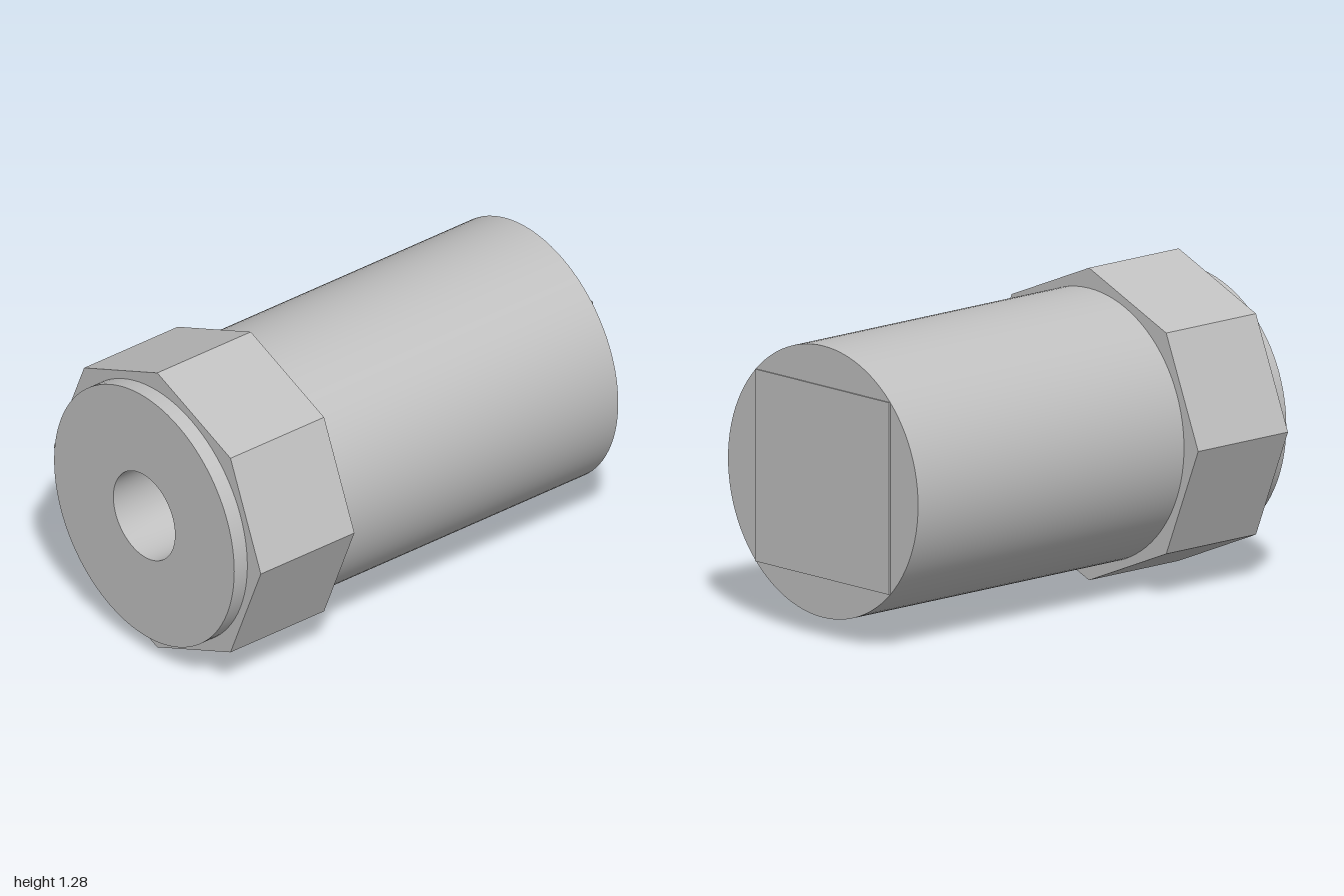
import * as THREE from 'three';
import { toCreasedNormals } from 'three/addons/utils/BufferGeometryUtils.js';

export function createModel() {
  const group = new THREE.Group();
  const metal = new THREE.MeshStandardMaterial({ color: 0xc0c0c0 });
  metal.name = 'greyMetal';

  const centreY = 0.638;
  const bodyR = 0.555;
  const boreR = 0.19;
  const backZ = -0.994;

  const add = (name, geometry, z = 0) => {
    const mesh = new THREE.Mesh(geometry, metal);
    mesh.name = name;
    mesh.position.set(0, centreY, z);
    group.add(mesh);
  };

  // Round body with a blind bore in the front, ending in a shallow dome
  const profile = [[0, backZ], [bodyR, backZ], [bodyR, 1], [boreR, 1]];
  const boreEnd = -0.4, domeDepth = 0.07, steps = 16;
  for (let i = 0; i <= steps; i++) {
    const a = (i / steps) * Math.PI / 2;
    profile.push([i === steps ? 0 : boreR * Math.cos(a), boreEnd - domeDepth * Math.sin(a)]);
  }
  const body = new THREE.LatheGeometry(profile.map(([r, z]) => new THREE.Vector2(r, z)), 96);
  body.rotateX(Math.PI / 2);
  add('body', toCreasedNormals(body, Math.PI / 6));

  // Octagonal collar with a corner at the top
  const octagon = new THREE.Shape();
  for (let i = 0; i < 8; i++) {
    const a = i * Math.PI / 4;
    const x = centreY * Math.cos(a), y = centreY * Math.sin(a);
    if (i === 0) octagon.moveTo(x, y);
    else octagon.lineTo(x, y);
  }
  octagon.closePath();
  octagon.holes.push(new THREE.Path().absarc(0, 0, bodyR - 0.02, 0, Math.PI * 2, true));
  const collarBack = 0.446, collarFront = 0.932;
  add('octagonalCollar', new THREE.ExtrudeGeometry(octagon, {
    depth: collarFront - collarBack, bevelEnabled: false, curveSegments: 48,
  }), collarBack);

  // Slightly raised square pad inscribed in the back end
  const side = bodyR * Math.SQRT2;
  const padDepth = 0.012;
  add('backPad', new THREE.BoxGeometry(side, side, padDepth), -1 + padDepth / 2);

  return group;
}
